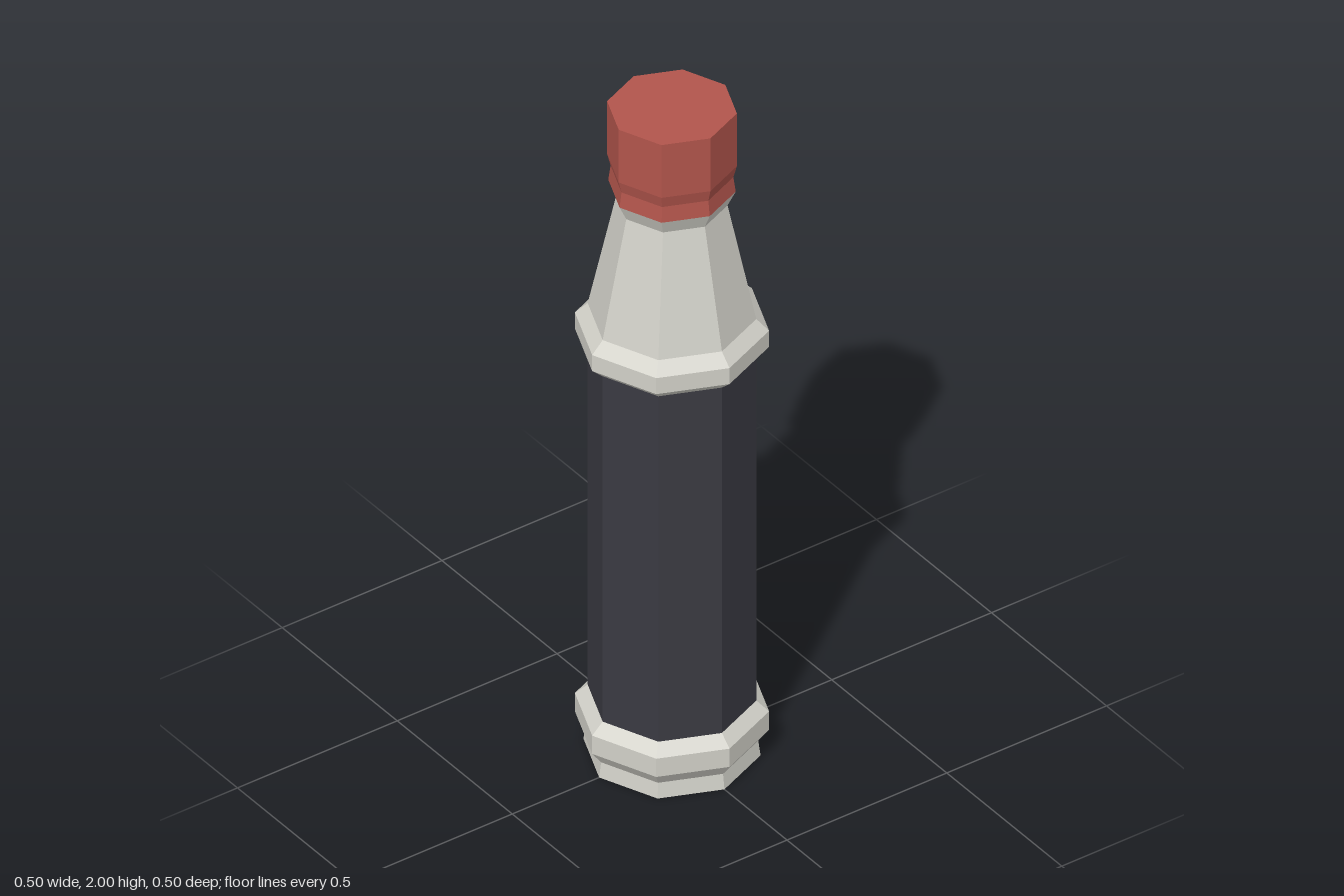
import * as THREE from 'three';

const SIDES = 8;

function mat(name, color) {
  const m = new THREE.MeshStandardMaterial({ color });
  m.name = name;
  return m;
}

// Faceted octagonal ring stack from [radius, height] pairs, listed bottom to top
function turned(name, profile, material) {
  const points = profile.map(([r, y]) => new THREE.Vector2(r, y));
  const geometry = new THREE.LatheGeometry(points, SIDES).toNonIndexed();
  geometry.computeVertexNormals();
  const mesh = new THREE.Mesh(geometry, material);
  mesh.name = name;
  return mesh;
}

export function createModel() {
  const metal = mat('pale metal', 0xd2d1c9);
  const grip = mat('dark grip', 0x3a3a42);
  const red = mat('red', 0xb2554c);

  const group = new THREE.Group();
  group.name = 'bottle';
  group.add(
    // Foot with a flared rim
    turned('base', [[0, 0], [0.228, 0], [0.222, 0.045], [0.25, 0.083], [0.25, 0.14], [0.217, 0.17]], metal),
    // Long straight body
    turned('body', [[0.217, 0.17], [0.217, 1.25]], grip),
    // Shoulder ring, tapering neck and collar
    turned('neck', [[0.217, 1.25], [0.25, 1.28], [0.25, 1.33], [0.217, 1.363], [0.143, 1.71], [0.164, 1.755]], metal),
    // Cap with a pinched lower edge
    turned('cap', [[0.164, 1.755], [0.158, 1.8], [0.167, 1.835], [0.167, 2], [0, 2]], red),
  );
  return group;
}
